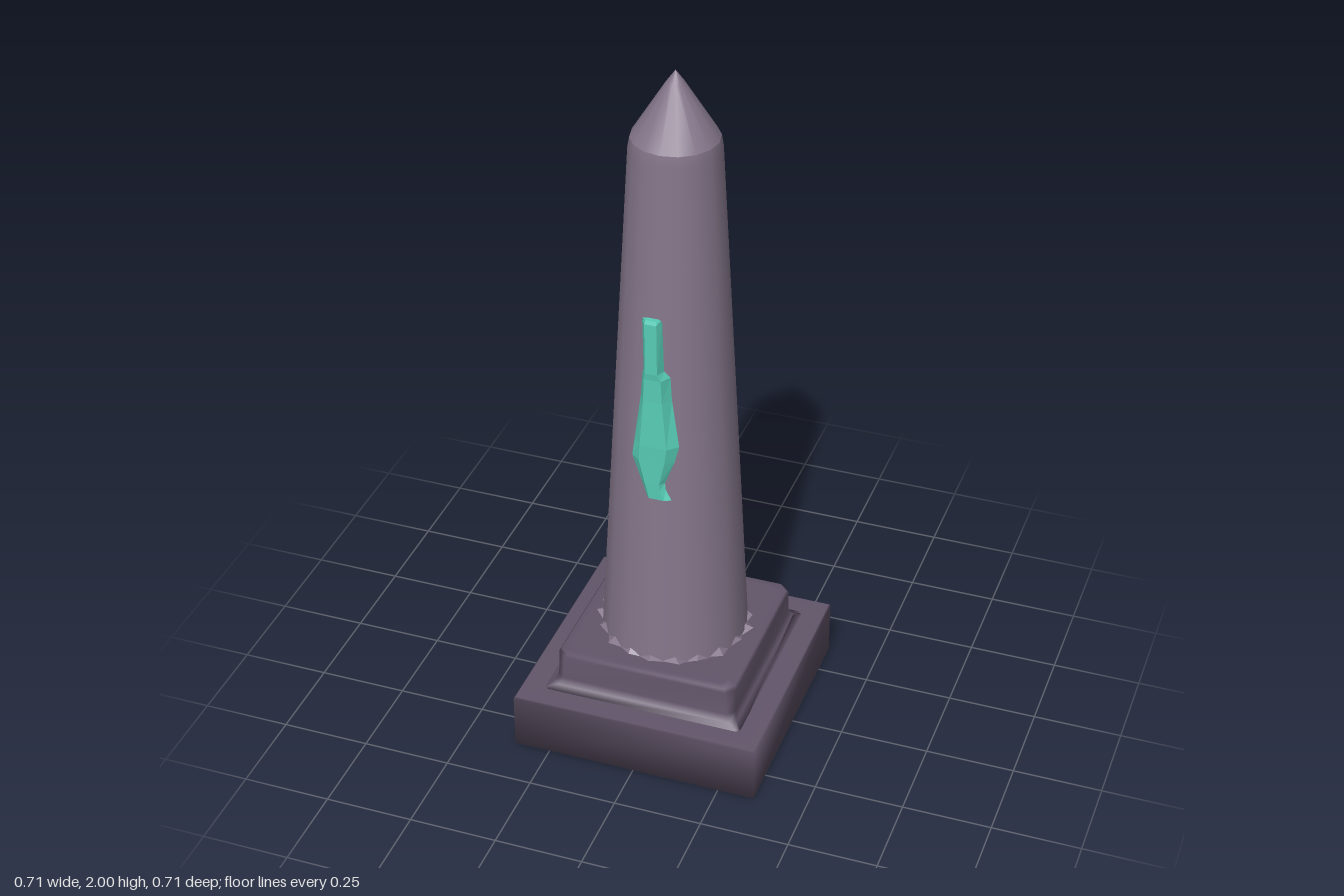
import * as THREE from 'three';

// Skins a stack of equal-length rings (ordered +z -> +x -> -z, rising in y) and caps both ends.
function loft(rings, flat = false) {
  const n = rings[0].length, index = [];
  for (let i = 0; i < rings.length - 1; i++) {
    for (let j = 0; j < n; j++) {
      const a = i * n + j, b = i * n + (j + 1) % n;
      index.push(a, b, b + n, a, b + n, a + n);
    }
  }
  const top = (rings.length - 1) * n;
  for (let j = 1; j < n - 1; j++) {
    index.push(0, j + 1, j, top, top + j, top + j + 1);
  }
  let geo = new THREE.BufferGeometry();
  geo.setAttribute('position', new THREE.Float32BufferAttribute(rings.flat(2), 3));
  geo.setIndex(index);
  if (flat) geo = geo.toNonIndexed();
  geo.computeVertexNormals();
  return geo;
}

// Square ring of half-width h at height y
const square = (h, y) => [[-h, y, h], [h, y, h], [h, y, -h], [-h, y, -h]];

// Square ring with its corners cut by c
const cutSquare = (h, y, c) => [
  [-h + c, y, h], [h - c, y, h], [h, y, h - c], [h, y, -h + c],
  [h - c, y, -h], [-h + c, y, -h], [-h, y, -h + c], [-h, y, h - c],
];

export function createModel() {
  const group = new THREE.Group();
  const baseStone = new THREE.MeshStandardMaterial({ name: 'dark stone', color: 0x62556a });
  const shaftStone = new THREE.MeshStandardMaterial({ name: 'light stone', color: 0x84768a });
  shaftStone.side = THREE.DoubleSide;
  const crystal = new THREE.MeshStandardMaterial({ name: 'turquoise crystal', color: 0x57cdb6 });

  const add = (name, geo, mat) => {
    const mesh = new THREE.Mesh(geo, mat);
    mesh.name = name;
    group.add(mesh);
  };

  // Square plinth with softly shaded sides
  add('plinth', loft([
    square(0.354, 0), square(0.354, 0.16), square(0.35, 0.165), square(0.27, 0.165),
  ]), baseStone);

  // Upper step: flared foot, cut corners and a small bevel on top
  add('step', loft([
    cutSquare(0.292, 0.163, 0.01), cutSquare(0.27, 0.175, 0.015), cutSquare(0.261, 0.195, 0.02),
    cutSquare(0.261, 0.268, 0.025), cutSquare(0.255, 0.276, 0.025), cutSquare(0.235, 0.277, 0.025),
  ]), baseStone);

  // Tapered round shaft
  const profile = (pts) => pts.map(([r, y]) => new THREE.Vector2(r, y));
  add('shaft', new THREE.LatheGeometry(profile([
    [0.206, 0.27], [0.164, 1.04], [0.123, 1.785], [0.118, 1.815],
  ]), 16), shaftStone);

  // Pointed cap
  add('tip', new THREE.LatheGeometry(profile([
    [0.118, 1.815], [0.025, 1.965], [0, 2],
  ]), 16), shaftStone);

  // Ragged collar of small teeth around the foot of the shaft
  const teeth = 19, collar = [];
  const point = (a, r, y) => [r * Math.sin(a), y, r * Math.cos(a)];
  for (let i = 0; i < teeth; i++) {
    const step = 2 * Math.PI / teeth, a = i * step;
    const tip = 0.222 + 0.007 * Math.sin(i * 2.7);
    const left = point(a - step / 2, 0.203, 0.28);
    const right = point(a + step / 2, 0.203, 0.28);
    const peak = point(a + 0.06 * Math.sin(i * 1.9), tip, 0.288 + 0.006 * Math.sin(i * 3.1));
    const crown = point(a, 0.2, 0.298);
    collar.push(left, peak, crown, peak, right, crown);
  }
  const collarGeo = new THREE.BufferGeometry();
  collarGeo.setAttribute('position', new THREE.Float32BufferAttribute(collar.flat(), 3));
  collarGeo.computeVertexNormals();
  add('collarTeeth', collarGeo, shaftStone);

  // Crystal shard on the front; rows are y, left x, right x, edge z, front z
  const shard = [
    [0.81, -0.02, 0.05, 0.172, 0.181],
    [0.84, -0.03, 0.033, 0.17, 0.182],
    [0.86, -0.038, 0.03, 0.168, 0.183],
    [0.93, -0.064, 0.056, 0.164, 0.185],
    [0.98, -0.058, 0.068, 0.162, 0.187],
    [1.12, -0.041, 0.046, 0.157, 0.185],
    [1.19, -0.036, 0.042, 0.157, 0.187],
    [1.21, -0.03, 0.027, 0.164, 0.19],
    [1.36, -0.03, 0.025, 0.172, 0.19],
    [1.37, -0.028, 0.023, 0.176, 0.186],
  ];
  add('crystalShard', loft(shard.map(([y, l, r, e, f]) => [
    [l, y, e], [l * 0.6, y, f], [r * 0.6, y, f], [r, y, e], [r * 0.6, y, e - 0.005], [l * 0.6, y, e - 0.005],
  ]), true), crystal);

  return group;
}
